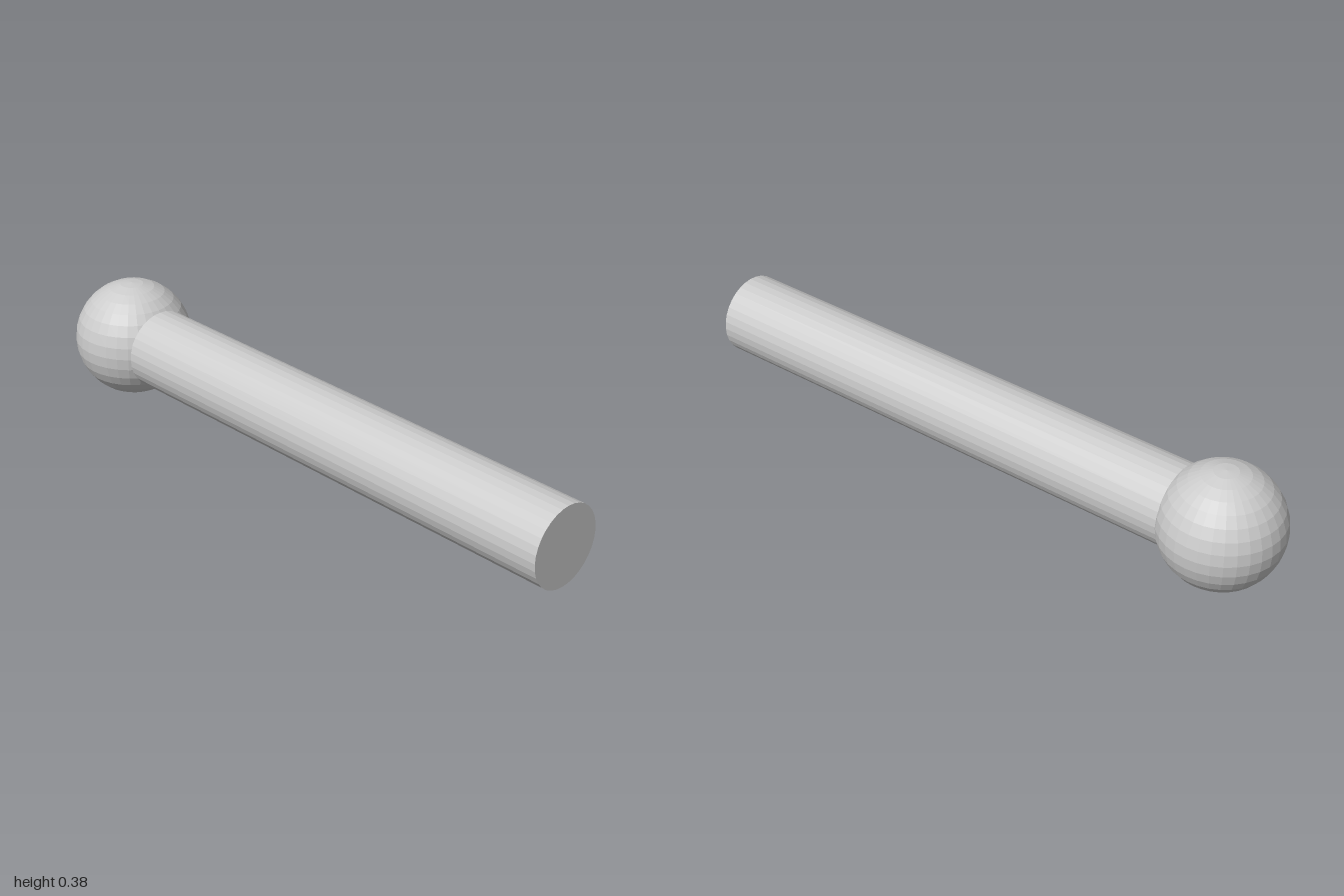
import * as THREE from 'three';

export function createModel() {
  const group = new THREE.Group();
  const material = new THREE.MeshStandardMaterial({ color: 0xcccccc, flatShading: true });
  const ballRadius = 0.189;
  const rodRadius = 0.127;
  const ballZ = -1 + ballRadius;

  // Ball at the back end, poles up and down
  const ball = new THREE.Mesh(new THREE.SphereGeometry(ballRadius, 32, 16), material);
  ball.name = 'ball';
  ball.position.set(0, ballRadius, ballZ);
  group.add(ball);

  // Straight round rod from inside the ball to the front end
  const rodLength = 1 - ballZ;
  const rod = new THREE.Mesh(new THREE.CylinderGeometry(rodRadius, rodRadius, rodLength, 32), material);
  rod.name = 'rod';
  rod.rotation.x = Math.PI / 2;
  rod.position.set(0, ballRadius, (1 + ballZ) / 2);
  group.add(rod);

  return group;
}
